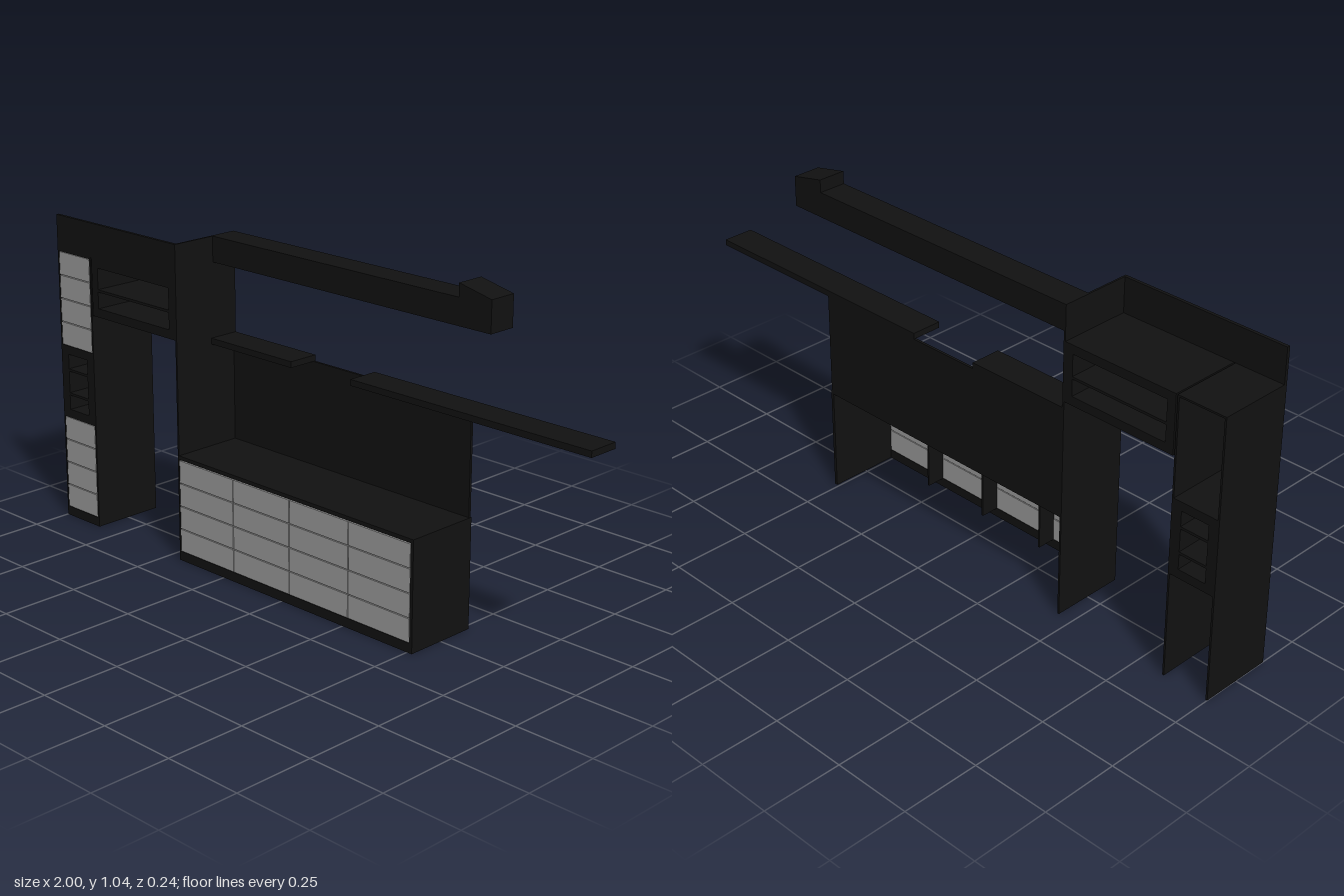
import * as THREE from 'three';

const dark = new THREE.MeshStandardMaterial({ color: 0x111111 });
const grey = new THREE.MeshStandardMaterial({ color: 0x999999 });

const FRONT = 0.12, BACK = -0.12, T = 0.006;

// Box given by its extents on each axis
function board(parent, name, x0, x1, y0, y1, z0 = BACK, z1 = FRONT, material = dark) {
  const mesh = new THREE.Mesh(new THREE.BoxGeometry(x1 - x0, y1 - y0, z1 - z0), material);
  mesh.position.set((x0 + x1) / 2, (y0 + y1) / 2, (z0 + z1) / 2);
  mesh.name = name;
  parent.add(mesh);
}

function section(parent, name) {
  const group = new THREE.Group();
  group.name = name;
  parent.add(group);
  return group;
}

// Stack of four equal drawer fronts with narrow gaps
function drawers(parent, x0, x1, y0, y1) {
  const h = (y1 - y0) / 4, gap = 0.0015;
  for (let i = 0; i < 4; i++) {
    board(parent, 'drawerFront', x0 + gap, x1 - gap, y0 + i * h + gap, y0 + (i + 1) * h - gap,
      FRONT - 0.01, FRONT, grey);
  }
}

// Rectangular open frame running the full depth, with shelves
function openFrame(parent, x0, x1, y0, y1, rim, shelves) {
  board(parent, 'frameBottom', x0, x1, y0, y0 + rim);
  board(parent, 'frameTop', x0, x1, y1 - rim, y1);
  board(parent, 'frameSide', x0, x0 + rim, y0 + rim, y1 - rim);
  board(parent, 'frameSide', x1 - rim, x1, y0 + rim, y1 - rim);
  for (const y of shelves) {
    board(parent, 'shelf', x0 + rim, x1 - rim, y - 0.004, y + 0.004);
  }
}

export function createModel() {
  const model = new THREE.Group();
  model.name = 'kitchenWall';

  // Tall cabinet, open at the back
  const tower = section(model, 'tallCabinet');
  board(tower, 'sidePanel', -1, -1 + T, 0, 0.89);
  board(tower, 'sidePanel', -0.84 - T, -0.84, 0, 0.89);
  board(tower, 'topPanel', -1 + T, -0.84 - T, 0.89 - T, 0.89);
  board(tower, 'plinth', -1 + T, -0.84 - T, 0, 0.03, FRONT - 0.01);
  drawers(tower, -1 + T, -0.84 - T, 0.03, 0.34);
  drawers(tower, -1 + T, -0.84 - T, 0.58, 0.89 - T);
  openFrame(tower, -1 + T, -0.84 - T, 0.34, 0.58, 0.028, [0.42, 0.5]);

  // Open wall unit bridging the passage
  const bridge = section(model, 'bridgeShelf');
  openFrame(bridge, -0.835, -0.45, 0.705, 0.89, 0.028, [0.79]);

  // Tall divider, fascia and ceiling beam
  const upper = section(model, 'upperStructure');
  board(upper, 'dividerPanel', -0.45, -0.45 + T, 0, 1);
  board(upper, 'fascia', -1, -0.45, 0.89, 1, FRONT - 0.01);
  board(upper, 'beam', -0.45 + T, 0.53, 0.92, 1, BACK, -0.03);

  // Sloped block closing the beam end
  const outline = new THREE.Shape([[0.53, 0.92], [0.645, 0.92], [0.645, 1.015], [0.53, 1.04]]
    .map(([x, y]) => new THREE.Vector2(x, y)));
  const end = new THREE.Mesh(
    new THREE.ExtrudeGeometry(outline, { depth: 0.09, bevelEnabled: false }), dark);
  end.position.z = BACK;
  end.name = 'beamEnd';
  upper.add(end);

  // Base cabinet, open at the back
  const base = section(model, 'baseCabinet');
  const x0 = -0.444, x1 = 0.508, width = (x1 - x0) / 4;
  board(base, 'sidePanel', x1, 0.518, 0, 0.33);
  board(base, 'plinth', x0, x1, 0, 0.03, FRONT - 0.01);
  board(base, 'worktop', x0, 0.518, 0.33, 0.342);
  for (let i = 0; i < 4; i++) {
    const x = x0 + i * width;
    drawers(base, x, x + width, 0.03, 0.328);
    if (i > 0) board(base, 'divider', x - 0.003, x + 0.003, 0.03, 0.33, 0.05, FRONT - 0.01);
  }

  // Splashback and the two wall shelves above it
  const wall = section(model, 'wallPanel');
  board(wall, 'splashback', x0, 0.515, 0.342, 0.666, BACK, BACK + 0.008);
  board(wall, 'leftShelf', x0, -0.1, 0.666, 0.685, BACK, -0.02);
  board(wall, 'rightShelf', 0.14, 1, 0.666, 0.685, BACK, -0.02);

  return model;
}
